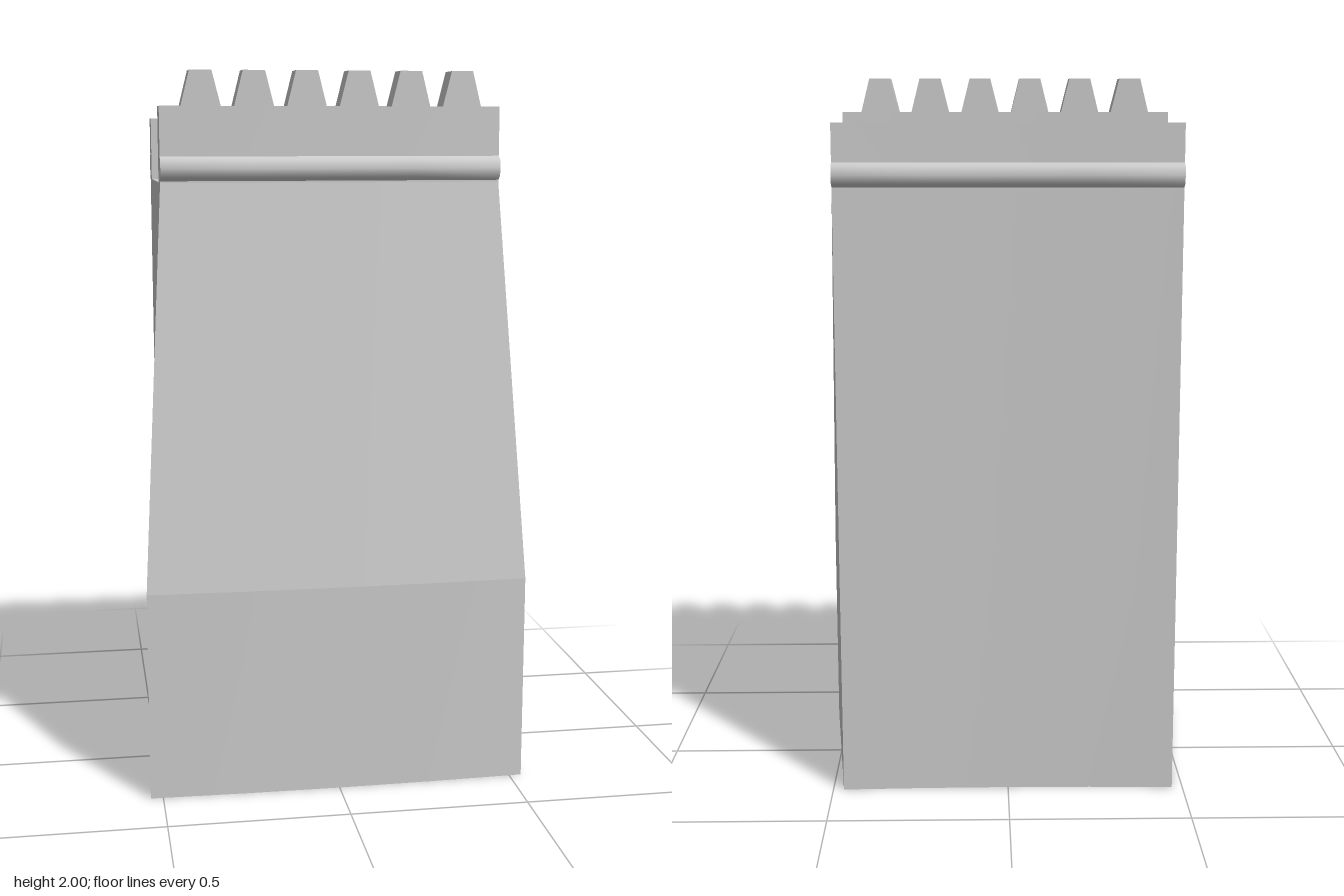
import * as THREE from 'three';
import { toCreasedNormals } from 'three/addons/utils/BufferGeometryUtils.js';

const HALF = 0.47, DECK = 1.7;
const material = new THREE.MeshStandardMaterial({ color: 0xcccccc, side: THREE.DoubleSide });

// The whole wall bows gently forward at its middle.
const bow = (x, half = HALF) => 0.009 * (1 - (x / half) ** 2);

function reshape(geometry, rule) {
  const p = geometry.attributes.position;
  for (let i = 0; i < p.count; i++) p.setXYZ(i, ...rule(p.getX(i), p.getY(i), p.getZ(i)));
  return geometry;
}

function dropBottom(box) {
  const { start, count } = box.groups[3];
  const index = Array.from(box.index.array);
  index.splice(start, count);
  box.setIndex(index);
  box.clearGroups();
  return box;
}

function part(name, geometry, crease = 0.1) {
  const mesh = new THREE.Mesh(toCreasedNormals(geometry, crease), material);
  mesh.name = name;
  return mesh;
}

// Hollow body, open below: straight base, then a front face leaning back.
function wallBody() {
  const rows = [
    { y: 0, front: 0.31, back: -0.293, half: 0.535 },
    { y: 0.59, front: 0.31, back: -0.296, half: 0.535 },
    { y: DECK, front: 0.174, back: -0.299, half: HALF },
  ];
  const box = new THREE.BoxGeometry(2, 2, 2, 4, 2, 1);
  return dropBottom(reshape(box, (x, y, z) => {
    const r = rows[Math.round(y) + 1];
    const half = z > 0 ? r.half : HALF;
    return [x * half, r.y, (z > 0 ? r.front : r.back) + bow(x, 1)];
  }));
}

// Thin bowed wall standing on the deck.
function parapet(back, front, top) {
  const box = new THREE.BoxGeometry(HALF * 2, top - DECK, front - back, 4, 1, 1);
  box.translate(0, (top + DECK) / 2, (front + back) / 2);
  return dropBottom(reshape(box, (x, y, z) => [x, y, z + bow(x)]));
}

// Rounded moulding running along a parapet's outer face.
function moulding(z) {
  const bar = new THREE.CylinderGeometry(1, 1, HALF * 2, 8, 4);
  bar.rotateZ(Math.PI / 2);
  return reshape(bar, (x, y, d) => [x, 1.738 + y * 0.033, z + d * 0.023 + bow(x)]);
}

// Tooth with sloping sides.
function merlon(cx) {
  const box = new THREE.BoxGeometry(2, 0.095, 0.074);
  return dropBottom(reshape(box, (px, y, z) => {
    const x = cx + px * (y > 0 ? 0.03 : 0.054);
    return [x, 1.9525 + y, 0.137 + z + bow(x)];
  }));
}

export function createModel() {
  const model = new THREE.Group();
  model.name = 'battlementWall';
  model.add(
    part('wallBody', wallBody()),
    part('frontParapet', parapet(0.1, 0.174, 1.905)),
    part('backParapet', parapet(-0.239, -0.299, 1.875).scale(1, 1, 1)),
    part('frontMoulding', moulding(0.174), 1),
    part('backMoulding', moulding(-0.299), 1),
  );
  const merlons = new THREE.Group();
  merlons.name = 'merlons';
  for (let i = 0; i < 6; i++) merlons.add(part('merlon', merlon((i - 2.5) * 0.144 + 0.002)));
  model.add(merlons);
  return model;
}
